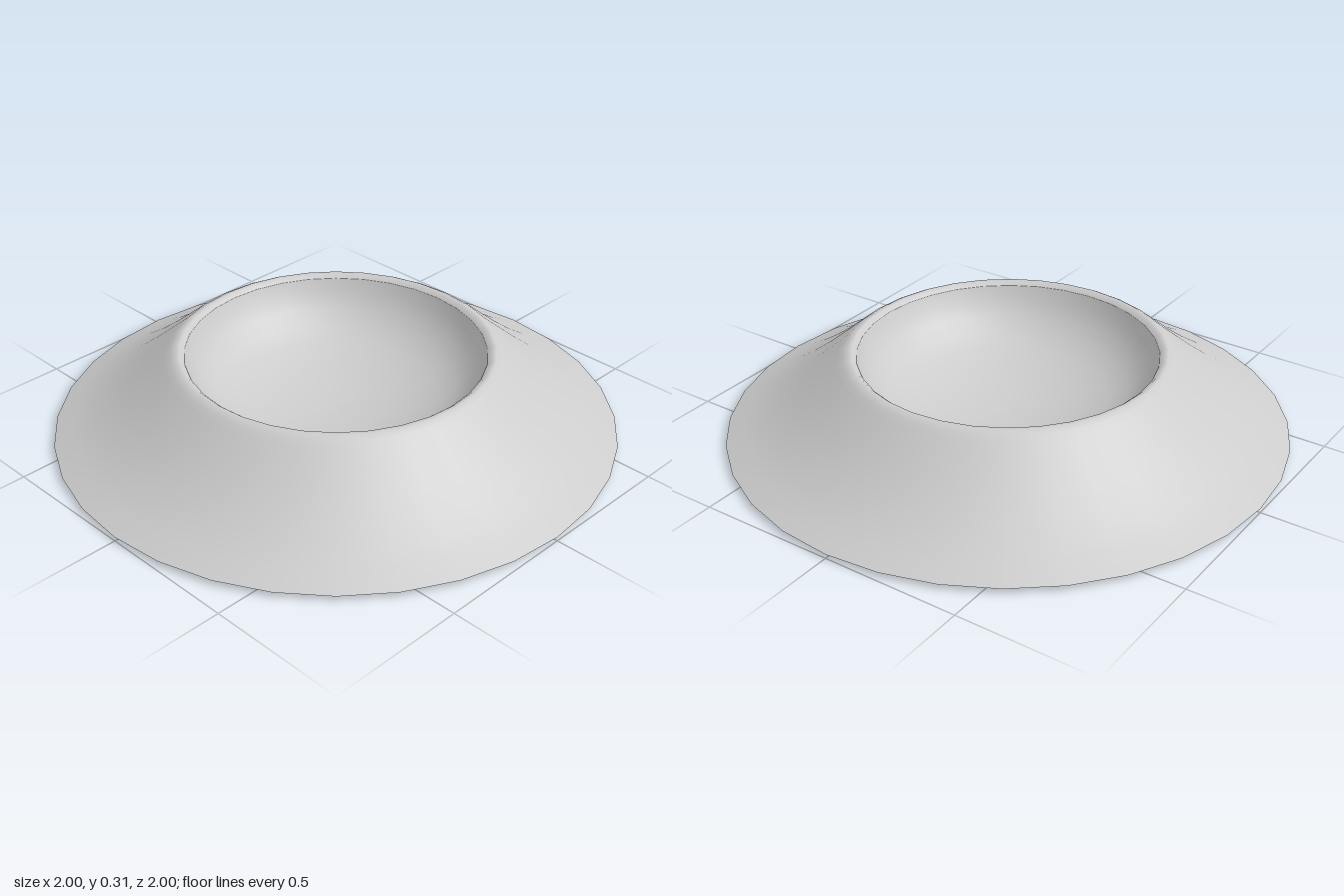
import * as THREE from 'three';

const SIDES = 32;

// Revolve a list of [radius, height] points around the y axis
function revolve(name, points, material) {
  const profile = points.map(([r, y]) => new THREE.Vector2(r, y));
  const mesh = new THREE.Mesh(new THREE.LatheGeometry(profile, SIDES), material);
  mesh.name = name;
  return mesh;
}

export function createModel() {
  const group = new THREE.Group();
  group.name = 'crater';
  const material = new THREE.MeshStandardMaterial({ color: 0xcccccc, roughness: 0.9 });

  // Flat underside
  group.add(revolve('base', [[0, 0], [0.98, 0]], material));

  // Thin skirt around the foot
  group.add(revolve('footEdge', [[0.98, 0], [1, 0.015]], material));

  // Concave outer slope, running up over the rounded rim
  group.add(revolve('outerSlope', [
    [1, 0.015], [0.93, 0.046], [0.865, 0.08], [0.79, 0.128], [0.72, 0.18],
    [0.66, 0.23], [0.6, 0.28], [0.58, 0.297], [0.56, 0.308], [0.545, 0.308], [0.53, 0.295],
  ], material));

  // Hollow bowl, steep at the rim and levelling out at the centre
  group.add(revolve('bowl', [
    [0.53, 0.295], [0.51, 0.25], [0.475, 0.2], [0.425, 0.155], [0.36, 0.118],
    [0.27, 0.085], [0.17, 0.064], [0.08, 0.054], [0, 0.051],
  ], material));

  return group;
}
